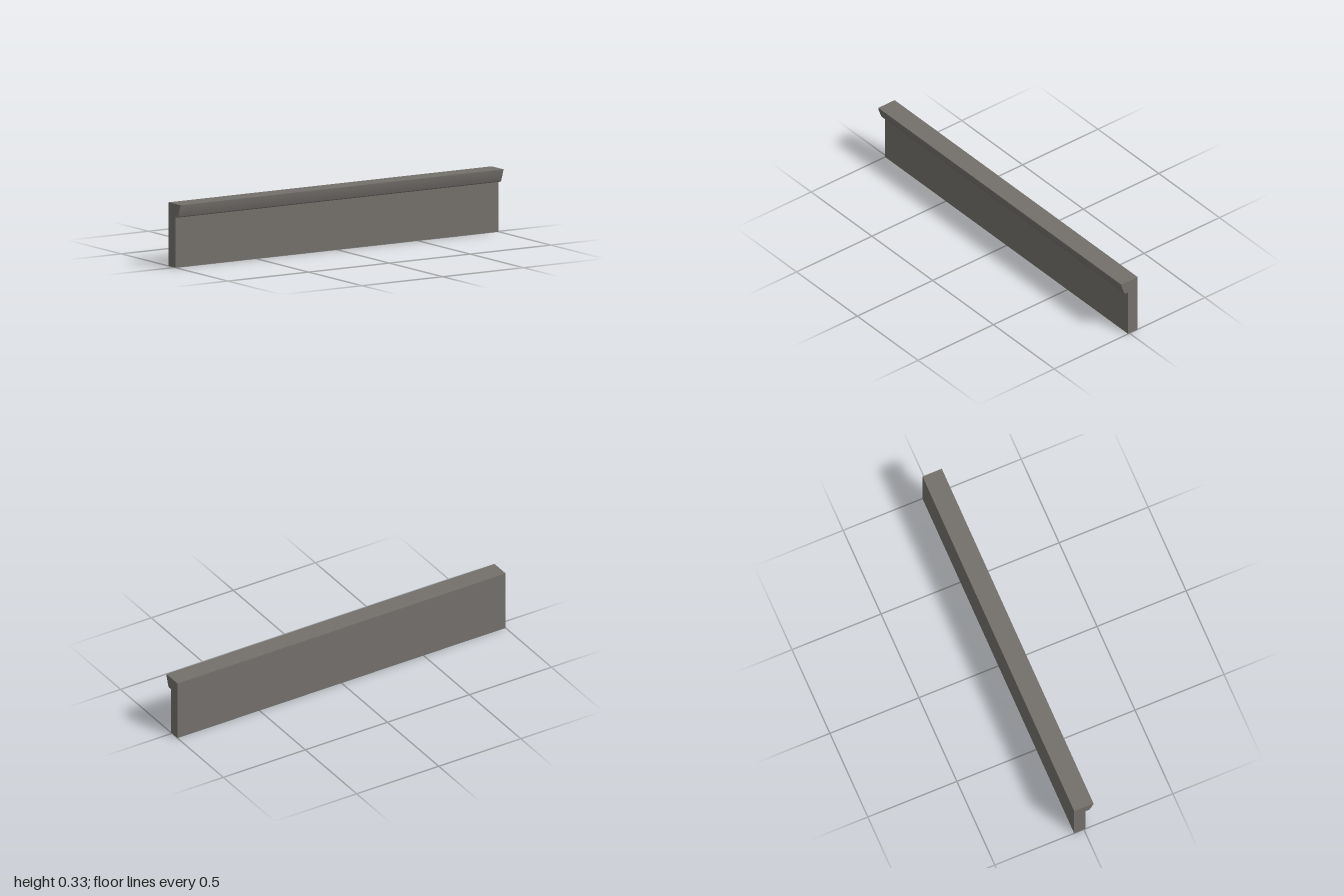
import * as THREE from 'three';
import { toCreasedNormals } from 'three/addons/utils/BufferGeometryUtils.js';

const LENGTH = 2, HEIGHT = 0.334;
const BACK = -0.0542, FACE = 0.0092, LIP = 0.0542; // depths along z

export function createModel() {
  const stone = new THREE.MeshStandardMaterial({ color: 0x74706c });
  stone.name = 'warm grey stone';

  // Cross-section: upright slab with a sloping, round-nosed lip at the top front
  const profile = new THREE.Shape();
  profile.moveTo(BACK, 0);
  profile.lineTo(FACE, 0);
  profile.lineTo(FACE, 0.265);
  profile.lineTo(0.026, 0.265);
  profile.quadraticCurveTo(0.0325, 0.265, 0.0345, 0.271);
  profile.lineTo(0.0532, 0.322);
  profile.quadraticCurveTo(LIP, 0.325, LIP, 0.328);
  profile.lineTo(LIP, HEIGHT);
  profile.lineTo(BACK, HEIGHT);
  profile.closePath();

  // Sweep the section along x
  const swept = new THREE.ExtrudeGeometry(profile, {
    depth: LENGTH, bevelEnabled: false, curveSegments: 6,
  });
  swept.rotateY(-Math.PI / 2);
  swept.translate(LENGTH / 2, 0, 0);

  const coping = new THREE.Mesh(toCreasedNormals(swept, 0.6), stone);
  coping.name = 'lippedSlab';

  const model = new THREE.Group();
  model.name = 'edgeTrim';
  model.add(coping);
  return model;
}
